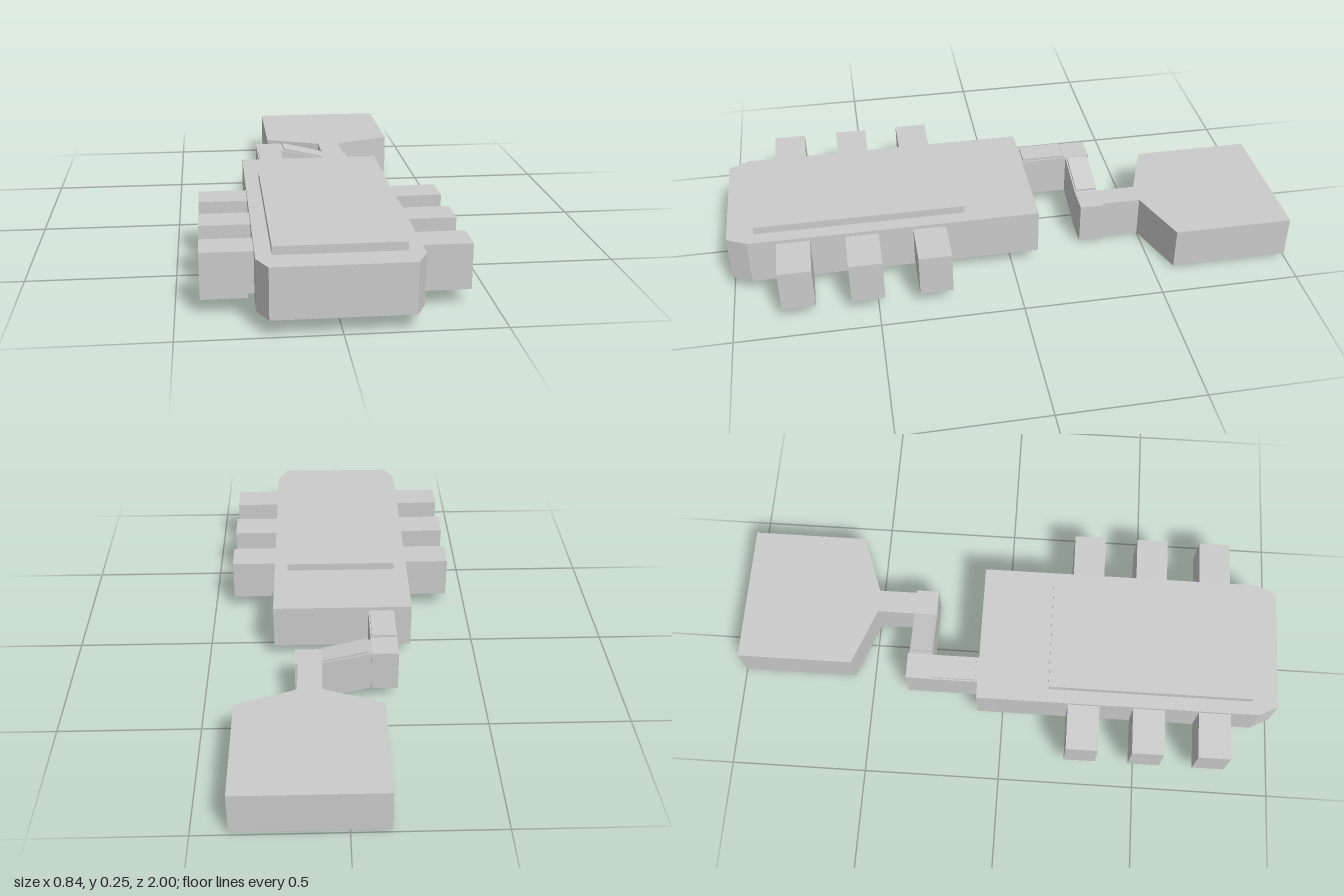
import * as THREE from 'three';

const material = new THREE.MeshStandardMaterial({ color: 0xcccccc, flatShading: true });

const extrude = (points, depth) => new THREE.ExtrudeGeometry(
  new THREE.Shape(points.map(([a, b]) => new THREE.Vector2(a, b))),
  { depth, bevelEnabled: false });

// Plan outline given as [x, z], raised from y0 to y1
function slab(points, y0, y1) {
  return extrude(points.map(([x, z]) => [x, -z]), y1 - y0)
    .rotateX(-Math.PI / 2).translate(0, y0, 0);
}

// Front outline given as [x, y], running from z0 to z1
function profile(points, z0, z1) {
  return extrude(points, z1 - z0).translate(0, 0, z0);
}

function box(x0, x1, y0, y1, z0, z1) {
  return new THREE.BoxGeometry(x1 - x0, y1 - y0, z1 - z0)
    .translate((x0 + x1) / 2, (y0 + y1) / 2, (z0 + z1) / 2);
}

export function createModel() {
  const model = new THREE.Group();
  model.name = 'model';
  const add = (name, geometry) => {
    const mesh = new THREE.Mesh(geometry, material);
    mesh.name = name;
    model.add(mesh);
  };

  // Main body with chamfered front corners, and its raised top plate
  add('body', slab([
    [-0.255, -0.095], [0.255, -0.095], [0.255, 0.93], [0.22, 1],
    [-0.22, 1], [-0.255, 0.93],
  ], 0.055, 0.222));
  add('topPlate', box(-0.205, 0.205, 0.222, 0.25, 0.165, 0.905));

  // Three side blocks per side, undercut where they meet the body
  for (const side of [1, -1]) {
    for (const z of [0.297, 0.535, 0.773]) {
      const outline = [
        [0.255, 0.07], [0.275, 0.07], [0.275, 0.055],
        [0.422, 0.055], [0.422, 0.208], [0.255, 0.208],
      ].map(([x, y]) => [x * side, y]);
      add(side > 0 ? 'leftBlock' : 'rightBlock', profile(outline, z - 0.058, z + 0.058));
    }
  }

  // Arm leaving the rear of the body, with a thin cap and a corner piece
  add('rearArm', box(-0.19, -0.095, 0.055, 0.206, -0.265, -0.095));
  add('armCap', box(-0.185, -0.1, 0.206, 0.215, -0.26, -0.105));
  add('armCorner', box(-0.19, -0.095, 0.055, 0.208, -0.36, -0.265));

  // Sloping link down to the tail, with a thin cap
  add('link', profile([
    [-0.095, 0.055], [0.08, 0.012], [0.08, 0.165], [-0.095, 0.206],
  ], -0.355, -0.27));
  add('linkCap', profile([
    [-0.083, 0.203], [0.075, 0.166], [0.075, 0.175], [-0.083, 0.213],
  ], -0.35, -0.275));

  // Tail: foot, narrow neck and flared slab, with a thin plate underneath
  add('tail', slab([
    [0.08, -0.27], [0.175, -0.27], [0.175, -0.355], [0.165, -0.355],
    [0.165, -0.495], [0.378, -0.575], [0.378, -1], [-0.131, -1],
    [-0.131, -0.575], [0.08, -0.495],
  ], 0.012, 0.165));
  add('tailBasePlate', box(-0.106, 0.355, 0, 0.012, -0.978, -0.595));

  return model;
}
